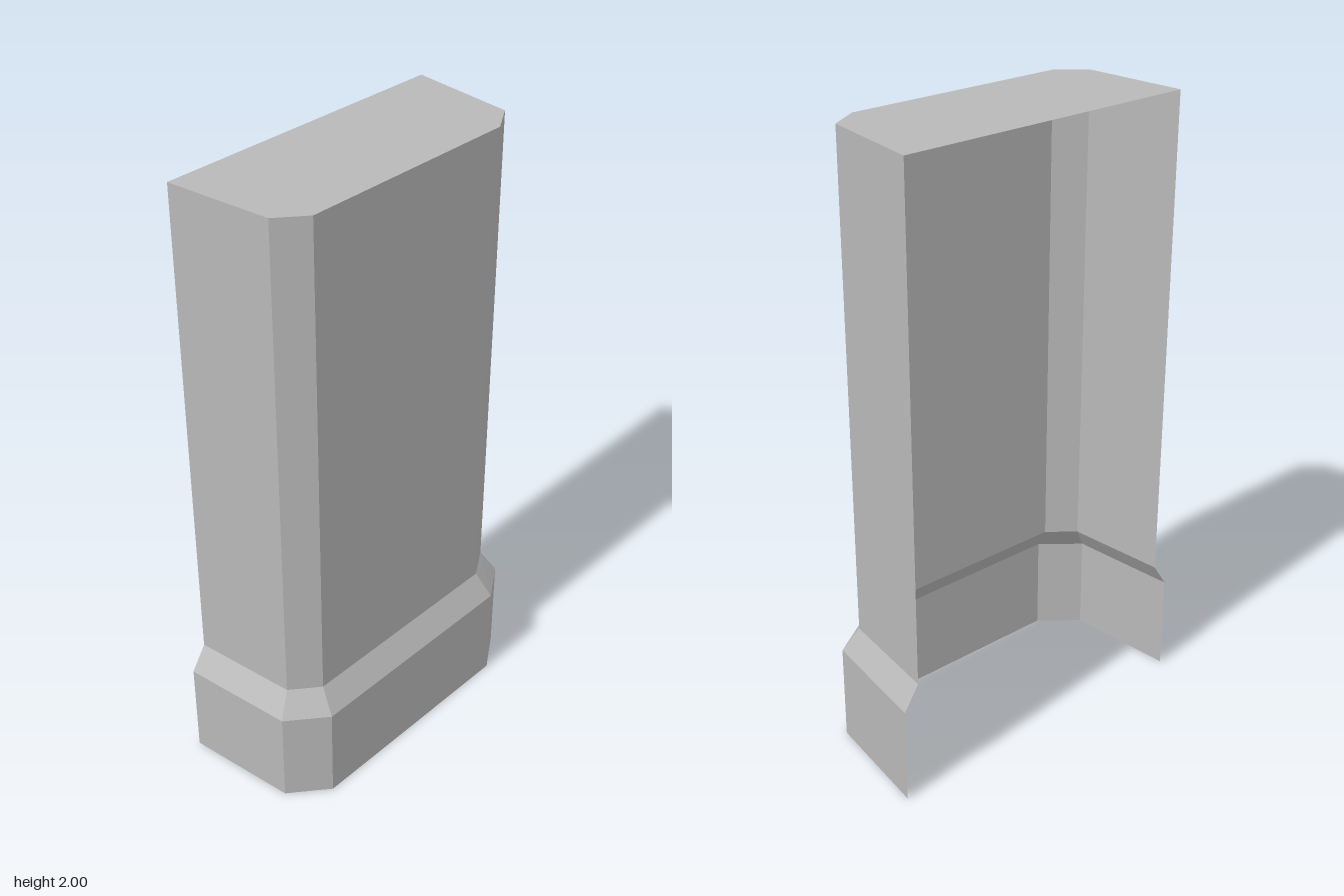
import * as THREE from 'three';

// Open-backed outlines [x, z], running from the left-hand rear edge round the front
const baseOutline = [[-0.55, -0.232], [-0.514, 0.132], [-0.396, 0.23], [0.38, 0.23], [0.502, 0.15], [0.549, -0.232]];
const shaftOutline = [[-0.498, -0.232], [-0.464, 0.106], [-0.378, 0.177], [0.36, 0.177], [0.458, 0.116], [0.498, -0.232]];

const geometryFrom = (positions) => {
  const geometry = new THREE.BufferGeometry();
  geometry.setAttribute('position', new THREE.Float32BufferAttribute(positions, 3));
  geometry.computeVertexNormals();
  return geometry;
};

// Wall of flat panels between two outlines at two heights
function wall(lower, y0, upper, y1) {
  const positions = [];
  for (let i = 0; i < lower.length - 1; i++) {
    const a = [lower[i][0], y0, lower[i][1]];
    const b = [lower[i + 1][0], y0, lower[i + 1][1]];
    const c = [upper[i + 1][0], y1, upper[i + 1][1]];
    const d = [upper[i][0], y1, upper[i][1]];
    positions.push(...a, ...b, ...c, ...a, ...c, ...d);
  }
  return geometryFrom(positions);
}

// Flat lid closing an outline
function lid(outline, y) {
  const positions = [];
  const at = (i) => [outline[i][0], y, outline[i][1]];
  for (let i = 1; i < outline.length - 1; i++) positions.push(...at(0), ...at(i), ...at(i + 1));
  return geometryFrom(positions);
}

export function createModel() {
  const group = new THREE.Group();
  group.name = 'pillar';
  const stone = new THREE.MeshStandardMaterial({ color: 0xb8b8b8 });
  stone.name = 'grey stone';
  stone.side = THREE.DoubleSide;
  stone.flatShading = true;

  const add = (name, geometry) => {
    const mesh = new THREE.Mesh(geometry, stone);
    mesh.name = name;
    group.add(mesh);
  };

  add('plinth', wall(baseOutline, 0, baseOutline, 0.32));
  add('plinthSlope', wall(baseOutline, 0.32, shaftOutline, 0.4));
  add('shaft', wall(shaftOutline, 0.4, shaftOutline, 2));
  add('topCap', lid(shaftOutline, 2));
  return group;
}
